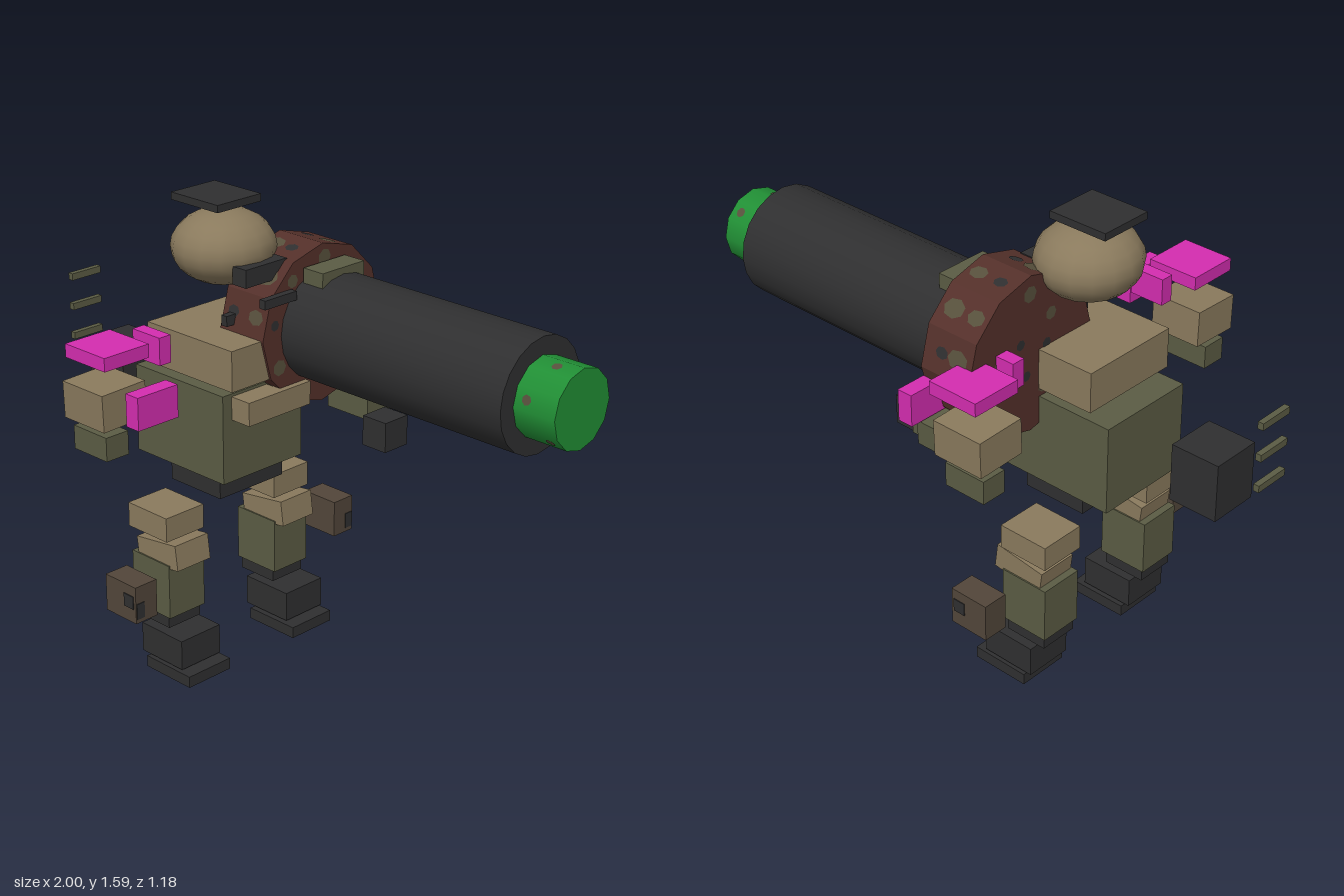
import * as THREE from 'three';

const mat = (name, color) => {
  const m = new THREE.MeshStandardMaterial({ color });
  m.name = name;
  return m;
};

export function createModel() {
  const tan = mat('tan', 0x8a7a5d), olive = mat('olive', 0x5b5c44), dark = mat('charcoal', 0x2f2f30);
  const magenta = mat('magenta', 0xd42db0), green = mat('green', 0x218f35), brown = mat('rust brown', 0x54302a);
  const mud = mat('mud brown', 0x52463a), moss = mat('moss spot', 0x57503c);

  const model = new THREE.Group();
  model.name = 'robot';

  const add = (name, geo, m, parent = model) => {
    const mesh = new THREE.Mesh(geo, m);
    mesh.name = name;
    parent.add(mesh);
    return mesh;
  };
  // Box given by its x, y and z ranges
  const box = (name, m, [x0, x1], [y0, y1], [z0, z1], parent = model) => {
    const b = add(name, new THREE.BoxGeometry(x1 - x0, y1 - y0, z1 - z0), m, parent);
    b.position.set((x0 + x1) / 2, (y0 + y1) / 2, (z0 + z1) / 2);
    return b;
  };

  // Head and face bars
  const head = add('head', new THREE.SphereGeometry(1, 16, 12), tan);
  head.scale.set(0.17, 0.123, 0.174);
  head.position.set(-0.285, 1.42, 0);
  box('headPlate', dark, [-0.425, -0.21], [1.56, 1.585], [-0.095, 0.095]);
  box('visor', dark, [-0.15, -0.09], [1.34, 1.4], [-0.09, 0.09]);
  box('chinBar', dark, [-0.05, -0.025], [1.28, 1.31], [-0.07, 0.07]);
  box('neckBar', dark, [-0.215, -0.19], [1.185, 1.22], [-0.08, 0.08]);

  // Body
  box('chest', tan, [-0.455, -0.06], [1.025, 1.163], [-0.18, 0.183]);
  box('torso', olive, [-0.525, -0.11], [0.69, 0.995], [-0.177, 0.177]);
  box('bellyPlate', tan, [-0.11, -0.03], [0.905, 0.985], [-0.138, 0.138]);
  box('pelvis', dark, [-0.4, -0.165], [0.61, 0.695], [-0.142, 0.142]);

  // Rear pack with its three vanes
  box('pack', dark, [-0.87, -0.697], [0.78, 0.978], [-0.088, 0.088]);
  for (const y of [0.945, 1.052, 1.16]) box('packVane', olive, [-1, -0.98], [y - 0.012, y + 0.012], [-0.063, 0.063]);

  // Arms and legs, one of each per side
  for (const s of [1, -1]) {
    const arm = new THREE.Group();
    arm.name = s > 0 ? 'armNear' : 'armFar';
    const leg = new THREE.Group();
    leg.name = s > 0 ? 'legNear' : 'legFar';
    model.add(arm, leg);
    const side = (a, b) => (s > 0 ? [a, b] : [-b, -a]);

    const shoulder = box('shoulder', tan, [-0.393, -0.205], [0.967, 1.09], side(0.415, 0.59), arm);
    shoulder.rotation.x = s * 0.03;
    box('forearm', olive, [-0.38, -0.225], [0.855, 0.935], side(0.475, 0.565), arm);
    box('shoulderPlate', magenta, [-0.375, -0.19], [1.17, 1.215], side(0.41, 0.59), arm);
    box('armGuard', magenta, [-0.105, -0.05], [1.015, 1.123], side(0.42, 0.582), arm);
    box('collarGuard', magenta, [-0.315, -0.19], [1.13, 1.222], side(0.32, 0.367), arm);

    box('upperThigh', tan, [-0.41, -0.225], [0.495, 0.58], side(0.163, 0.327), leg);
    const thigh = box('lowerThigh', tan, [-0.382, -0.192], [0.386, 0.474], side(0.17, 0.315), leg);
    thigh.rotation.z = 0.13;
    box('shin', olive, [-0.405, -0.225], [0.213, 0.405], side(0.165, 0.32), leg);
    box('ankle', dark, [-0.395, -0.24], [0.17, 0.213], side(0.172, 0.312), leg);
    box('shoe', dark, [-0.355, -0.16], [0.05, 0.155], side(0.158, 0.33), leg);
    box('sole', dark, [-0.33, -0.12], [0, 0.04], side(0.15, 0.335), leg);
    box('sidePouch', mud, [-0.325, -0.18], [0.28, 0.41], side(0.415, 0.505), leg);
    box('pouchSpot', dark, [-0.235, -0.19], [0.33, 0.375], side(0.505, 0.508), leg);
    box('pouchFrontSpot', dark, [-0.18, -0.177], [0.295, 0.35], side(0.47, 0.502), leg);
  }

  // Gun arm linkage
  const elbow = box('gunElbow', olive, [-0.2, -0.08], [0.925, 1.01], [-0.535, -0.39]);
  elbow.rotation.x = -0.05;
  box('gunGrip', olive, [-0.105, 0.075], [0.83, 0.925], [-0.405, -0.3]);
  box('gunHand', dark, [0.115, 0.215], [0.775, 0.878], [-0.34, -0.235]);

  // Cannon, lying along x
  const cannon = new THREE.Group();
  cannon.name = 'cannon';
  cannon.position.set(0, 1.16, -0.215);
  model.add(cannon);
  const tube = (name, m, r, x0, x1, sides, flat) => {
    let geo = new THREE.CylinderGeometry(r, r, x1 - x0, sides).rotateZ(-Math.PI / 2);
    if (flat) {
      geo = geo.toNonIndexed();
      geo.computeVertexNormals();
    }
    add(name, geo, m, cannon).position.x = (x0 + x1) / 2;
  };
  tube('drum', brown, 0.27, -0.247, -0.052, 12, true);
  tube('barrel', dark, 0.188, -0.052, 0.847, 20, false);
  tube('warhead', green, 0.13, 0.847, 1, 12, false);
  box('sight', olive, [-0.045, 0.04], [1.31, 1.37], [-0.31, -0.12]);

  // Camouflage spots on the drum rim
  const spot = (m, r) => add('camouflageSpot', new THREE.CircleGeometry(r, 7), m, cannon);
  for (let i = 0; i < 12; i++) {
    const a = (i + 0.5) * Math.PI / 6, d = 0.27 * Math.cos(Math.PI / 12) + 0.002;
    for (const k of [0, 1]) {
      const p = spot((i + k) % 3 ? moss : dark, 0.02 + 0.006 * ((i + k) % 3));
      p.position.set(k ? -0.1 - 0.012 * (i % 3) : -0.2 + 0.012 * (i % 2), d * Math.sin(a), d * Math.cos(a));
      p.rotation.x = -a;
      p.scale.x = 1.25;
    }
  }
  // Spots on the two drum faces
  for (const s of [1, -1]) {
    for (let i = 0; i < 9; i++) {
      const a = i * 0.7 + 0.2, d = s > 0 ? 0.222 : 0.07 + 0.07 * (i % 3);
      const p = spot(i % 3 ? moss : dark, 0.018 + 0.005 * (i % 3));
      p.position.set(s > 0 ? -0.05 : -0.249, d * Math.sin(a), d * Math.cos(a));
      p.rotation.y = s * Math.PI / 2;
    }
  }
  // Small spots on the warhead
  for (let i = 0; i < 6; i++) {
    const a = (2 * i + 0.5) * Math.PI / 6, d = 0.13 * Math.cos(Math.PI / 12) + 0.002;
    const p = spot(moss, 0.017);
    p.position.set(0.89 + 0.035 * (i % 3), d * Math.sin(a), d * Math.cos(a));
    p.rotation.x = -a;
  }
  return model;
}
